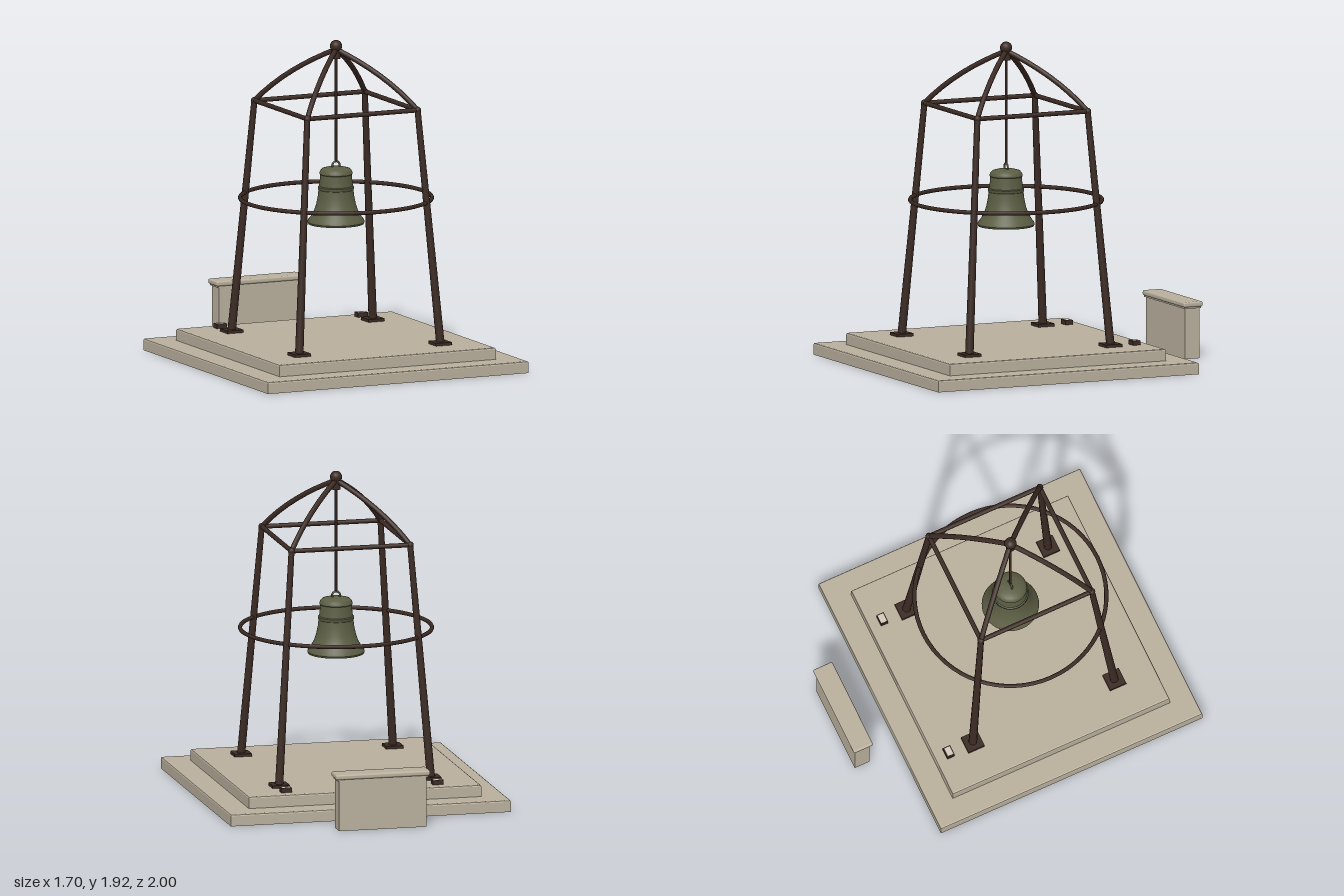
import * as THREE from 'three';
import { RoundedBoxGeometry } from 'three/addons/geometries/RoundedBoxGeometry.js';
import { toCreasedNormals } from 'three/addons/utils/BufferGeometryUtils.js';

const material = (name, color, side = THREE.FrontSide) => {
  const m = new THREE.MeshStandardMaterial({ color, side });
  m.name = name;
  return m;
};

// Open-bottomed block with a chamfered upper edge, standing on y = 0
function hollowBlock(w, h, d, chamfer) {
  const rings = [[0, 0], [h - chamfer, 0], [h - chamfer * 0.3, chamfer * 0.3], [h, chamfer]];
  const corners = [[-1, 1], [1, 1], [1, -1], [-1, -1]];
  const at = ([y, inset], i) => {
    const [sx, sz] = corners[i % 4];
    return [sx * (w / 2 - inset), y, sz * (d / 2 - inset)];
  };
  const pos = [];
  const quad = (a, b, c, e) => pos.push(...a, ...b, ...c, ...a, ...c, ...e);
  for (let r = 0; r < rings.length - 1; r++) {
    for (let i = 0; i < 4; i++) {
      quad(at(rings[r], i), at(rings[r], i + 1), at(rings[r + 1], i + 1), at(rings[r + 1], i));
    }
  }
  const top = rings[rings.length - 1];
  quad(at(top, 0), at(top, 1), at(top, 2), at(top, 3));
  const g = new THREE.BufferGeometry();
  g.setAttribute('position', new THREE.Float32BufferAttribute(pos, 3));
  g.computeVertexNormals();
  return g;
}

export function createModel() {
  const stone = material('stone', 0xb9af9c, THREE.DoubleSide);
  const iron = material('dark iron', 0x3b2a23);
  const bronze = material('aged bronze', 0x5b5d43, THREE.DoubleSide);
  const pale = material('pale plate', 0xd2cabb);

  const model = new THREE.Group();
  model.name = 'bellMonument';
  const tower = new THREE.Group();
  tower.name = 'bellTower';
  tower.position.z = 0.15;
  model.add(tower);

  const add = (parent, name, geometry, mat, x = 0, y = 0, z = 0) => {
    const mesh = new THREE.Mesh(geometry, mat);
    mesh.name = name;
    mesh.position.set(x, y, z);
    parent.add(mesh);
    return mesh;
  };
  // Round bar between two points
  const bar = (name, a, b, rStart, rEnd) => {
    const dir = b.clone().sub(a);
    const mesh = add(tower, name, new THREE.CylinderGeometry(rEnd, rStart, dir.length(), 12), iron);
    mesh.position.copy(a).addScaledVector(dir, 0.5);
    mesh.quaternion.setFromUnitVectors(new THREE.Vector3(0, 1, 0), dir.normalize());
  };
  const V = (x, y, z) => new THREE.Vector3(x, y, z);

  // Stepped plinth
  add(tower, 'lowerStep', hollowBlock(1.7, 0.07, 1.7, 0.01), stone);
  add(tower, 'upperStep', hollowBlock(1.41, 0.07, 1.41, 0.01), stone, 0, 0.07);

  // Four legs with foot plates, joints and arched rafters
  const corners = [[1, 1], [1, -1], [-1, -1], [-1, 1]];
  corners.forEach(([sx, sz], i) => {
    add(tower, 'footPlate', new THREE.BoxGeometry(0.105, 0.017, 0.105), iron, sx * 0.46, 0.1485, sz * 0.46);
    const top = V(sx * 0.36, 1.53, sz * 0.36);
    bar('leg', V(sx * 0.46, 0.15, sz * 0.46), top, 0.025, 0.018);
    add(tower, 'joint', new THREE.SphereGeometry(0.021, 12, 8), iron, top.x, top.y, top.z);
    const [nx, nz] = corners[(i + 1) % 4];
    bar('topBeam', top, V(nx * 0.36, 1.53, nz * 0.36), 0.014, 0.014);
    const arch = new THREE.QuadraticBezierCurve3(top, V(sx * 0.225, 1.73, sz * 0.225), V(0, 1.865, 0));
    add(tower, 'rafter', new THREE.TubeGeometry(arch, 8, 0.0155, 10), iron);
  });

  // Hoop tying the legs together
  const hoop = add(tower, 'hoop', new THREE.TorusGeometry(0.565, 0.0125, 8, 64), iron, 0, 0.98, 0);
  hoop.rotation.x = Math.PI / 2;

  // Apex ball, hub and hanging rod
  add(tower, 'finial', new THREE.SphereGeometry(0.036, 20, 14), iron, 0, 1.884, 0);
  add(tower, 'hub', new THREE.CylinderGeometry(0.027, 0.027, 0.06, 16), iron, 0, 1.84, 0);
  add(tower, 'hangingRod', new THREE.CylinderGeometry(0.0075, 0.0075, 0.63, 10), iron, 0, 1.51, 0);

  // Bell: outer skin down to the lip, then back up the inside
  const profile = [
    [0, 1.164], [0.05, 1.162], [0.082, 1.153], [0.095, 1.138], [0.098, 1.122], [0.093, 1.118],
    [0.096, 1.08], [0.1, 1.05], [0.107, 1.045], [0.107, 1.033], [0.103, 1.028], [0.107, 0.99],
    [0.117, 0.94], [0.131, 0.9], [0.15, 0.867], [0.165, 0.848], [0.169, 0.836], [0.164, 0.825],
    [0.15, 0.826], [0.13, 0.865], [0.108, 0.92], [0.092, 1.0], [0.08, 1.11], [0, 1.13],
  ].map(([r, y]) => new THREE.Vector2(r, y)).reverse();
  add(tower, 'bell', toCreasedNormals(new THREE.LatheGeometry(profile, 40), 0.7), bronze);
  add(tower, 'bellLoop', new THREE.TorusGeometry(0.024, 0.006, 8, 24), bronze, 0, 1.172, 0);
  add(tower, 'clapperRod', new THREE.CylinderGeometry(0.006, 0.006, 0.27, 8), bronze, 0, 0.995, 0);
  add(tower, 'clapper', new THREE.SphereGeometry(0.024, 16, 12), bronze, 0, 0.858, 0);

  // Small marker blocks behind the rear legs
  for (const s of [-1, 1]) {
    add(tower, 'marker', new THREE.BoxGeometry(0.065, 0.027, 0.047), iron, s * 0.46, 0.1535, -0.617);
    add(tower, 'markerPlate', new THREE.BoxGeometry(0.053, 0.003, 0.036), pale, s * 0.46, 0.1675, -0.617);
  }

  // Free-standing wall with coping
  const wall = new THREE.Group();
  wall.name = 'rearWall';
  wall.position.z = -0.9375;
  model.add(wall);
  add(wall, 'wallBody', hollowBlock(0.53, 0.31, 0.096, 0.002), stone);
  add(wall, 'copingBed', new THREE.BoxGeometry(0.55, 0.012, 0.108), stone, 0, 0.306, 0);
  add(wall, 'coping', new RoundedBoxGeometry(0.572, 0.031, 0.125, 3, 0.011), stone, 0, 0.3245, 0);

  return model;
}
